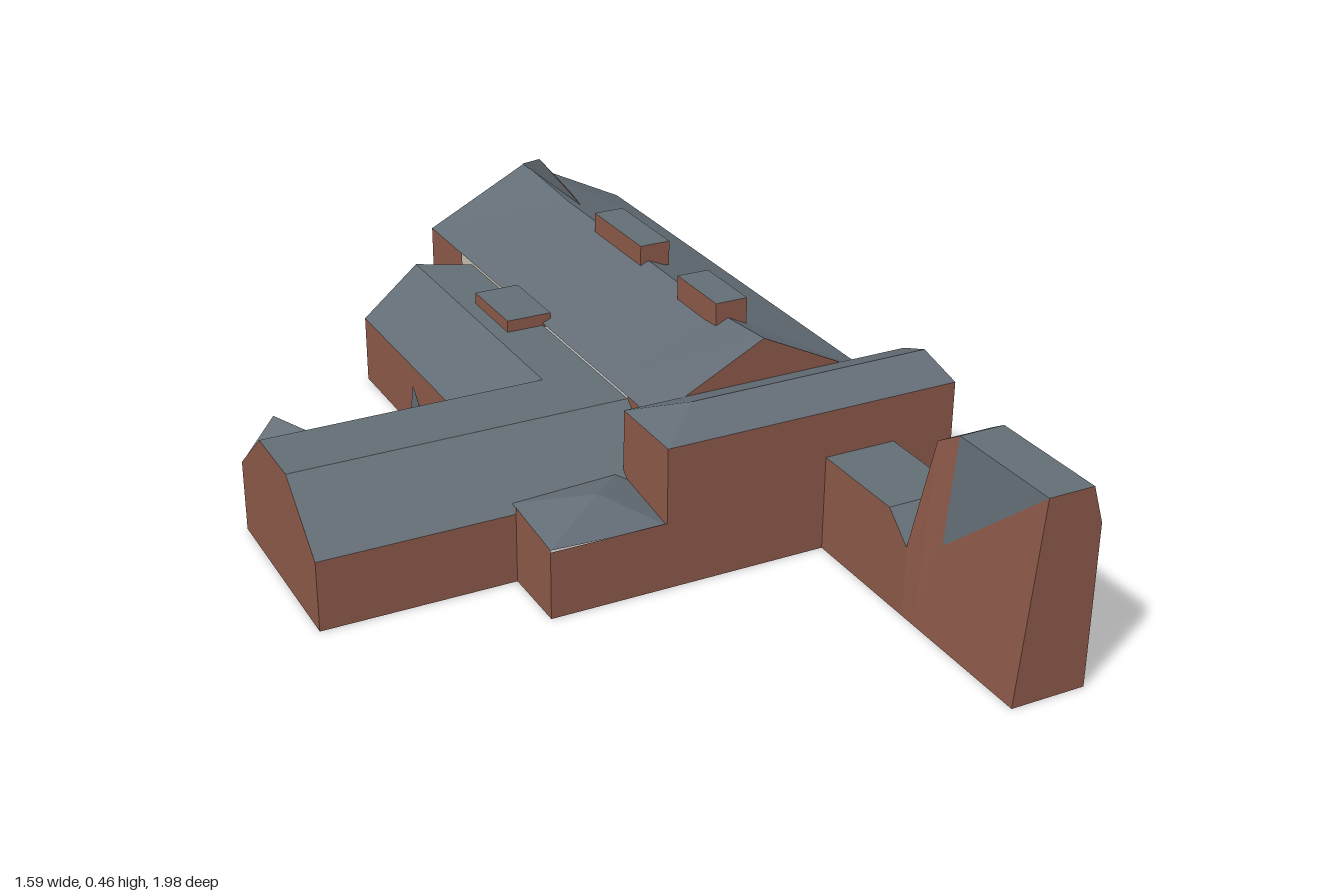
import * as THREE from 'three';

const flat = (name, color) => {
  const m = new THREE.MeshStandardMaterial({ color, side: THREE.DoubleSide });
  m.name = name;
  return m;
};

export function createModel() {
  const brick = flat('brick', 0x8b5848);
  const slate = flat('slate', 0x636d75);
  const cream = flat('cream', 0xd8d0c2);

  const model = new THREE.Group();
  model.name = 'building';
  const plan = new THREE.Group();
  plan.name = 'rotatedPlan';
  plan.rotation.y = 0.372;
  model.add(plan);

  // One mesh from flat polygons, each a list of [x, y, z] corners
  function part(name, material, polygons) {
    const pos = [];
    for (const p of polygons)
      for (let i = 1; i < p.length - 1; i++) pos.push(...p[0], ...p[i], ...p[i + 1]);
    const g = new THREE.BufferGeometry();
    g.setAttribute('position', new THREE.Float32BufferAttribute(pos, 3));
    g.computeVertexNormals();
    const mesh = new THREE.Mesh(g, material);
    mesh.name = name;
    plan.add(mesh);
  }
  // Upright wall between two plan points
  const wall = (x1, z1, x2, z2, top, base = 0) =>
    [[x1, base, z1], [x2, base, z2], [x2, top, z2], [x1, top, z1]];
  // Roof strip between two edges
  const strip = (a, b, c, d) => [a, b, c, d];

  // Main hall
  const L = -0.06, R = 0.457, B = -0.893, F = 0.3, eave = 0.28, rx = 0.195;
  part('mainSideWall', cream, [wall(R, F, R, B, eave)]);
  part('mainBackWallLower', cream, [[[R, 0, B], [L, 0, B], [L, eave, B]]]);
  part('mainBrickWalls', brick, [
    [[R, 0, B], [L, eave, B], [R, eave, B]],
    [[R, eave, B], [L, eave, B], [rx, 0.41, B]],
    [[L, eave, F], [R, eave, F], [rx, 0.41, F]],
    wall(L, B, L, -0.703, eave),
    wall(L, 0.18, L, F, eave, 0.15),
  ]);
  const ridge = [[-0.893, 0.41], [-0.64, 0.395], [0.1, 0.393], [0.3, 0.41]];
  const mainRoof = [];
  for (let i = 0; i < ridge.length - 1; i++) {
    const [za, ya] = ridge[i], [zb, yb] = ridge[i + 1];
    mainRoof.push(strip([L, eave, za], [L, eave, zb], [rx, yb, zb], [rx, ya, za]));
    mainRoof.push(strip([rx, ya, za], [rx, yb, zb], [R, eave, zb], [R, eave, za]));
  }
  part('mainRoof', slate, mainRoof);

  // Small pointed fins on the roofs: base start, base end, peak, foot
  function fin(name, a, b, peak, foot) {
    part(name, brick, [[a, foot, peak], [foot, b, peak]]);
    part(name + 'Roof', slate, [[b, a, peak]]);
  }
  fin('ridgeFin', [0.19, 0.41, -0.893], [0.222, 0.385, -0.62], [0.19, 0.455, -0.79], [0.24, 0.385, -0.72]);
  fin('endFin', [-0.808, 0.165, -0.115], [-0.69, 0.25, -0.02], [-0.74, 0.262, -0.1], [-0.68, 0.2, -0.07]);
  fin('middleFin', [-0.44, 0.18, -0.1], [-0.46, 0.275, 0.01], [-0.43, 0.265, -0.1], [-0.42, 0.2, -0.07]);

  // Flat-topped dormers
  function dormer(x1, x2, z1, z2, base, top) {
    part('dormerWalls', brick, [
      wall(x1, z2, x2, z2, top, base), wall(x2, z2, x2, z1, top, base),
      wall(x2, z1, x1, z1, top, base), wall(x1, z1, x1, z2, top, base),
    ]);
    part('dormerRoof', slate, [[[x1, top, z1], [x1, top, z2], [x2, top, z2], [x2, top, z1]]]);
  }
  dormer(0.175, 0.248, -0.45, -0.216, 0.375, 0.432);
  dormer(0.165, 0.24, -0.022, 0.15, 0.375, 0.435);
  dormer(-0.146, -0.04, -0.42, -0.24, 0.27, 0.302);

  // Side wing, joining the long wing in a valley
  const sx = -0.316, sb = -0.703, vx = -0.18, wb = -0.123, w1 = 0.017, low = 0.16, flatTop = 0.275;
  part('sideWingWalls', brick, [
    wall(sx, sb, sx, wb, low),
    [[L, 0, sb], [sx, 0, sb], [sx, low, sb], [vx, flatTop, sb], [L, 0.2, sb]],
    [[vx, flatTop, sb], [L, flatTop, -0.64], [L, 0.2, sb]],
  ]);
  part('sideWingRoof', slate, [
    strip([sx, low, sb], [sx, low, wb], [vx, flatTop, w1], [vx, flatTop, sb]),
    [[vx, flatTop, sb], [vx, flatTop, w1], [L, flatTop, w1], [L, flatTop, -0.64]],
  ]);

  // Long wing with a flat-topped roof
  const wl = -0.808, w2 = 0.18, wf = 0.33;
  part('longWingWalls', brick, [
    wall(wl, wf, -0.386, wf, 0.155),
    wall(sx, wb, wl, wb, low),
    [[wl, 0, wb], [wl, 0, wf], [wl, 0.155, wf], [wl, flatTop, w2], [wl, flatTop, w1], [wl, low, wb]],
  ]);
  part('longWingRoof', slate, [
    strip([wl, low, wb], [wl, flatTop, w1], [vx, flatTop, w1], [sx, low, wb]),
    strip([wl, flatTop, w1], [wl, flatTop, w2], [L, flatTop, w2], [L, flatTop, w1]),
    strip([wl, flatTop, w2], [wl, 0.155, wf], [L, 0.155, wf], [L, flatTop, w2]),
  ]);

  // Low entrance block
  const hl = -0.13, ff = 0.491, pl = -0.386;
  part('entranceWalls', brick, [
    wall(pl, ff, hl, ff, 0.15),
    [[pl, 0, wf], [pl, 0, ff], [pl, 0.155, ff], [pl, 0.17, wf]],
  ]);
  part('entranceRoof', slate, [
    [[pl, 0.155, ff], [hl, 0.145, ff], [-0.24, 0.2, 0.4]],
    [[hl, 0.145, ff], [hl, 0.17, 0.28], [-0.24, 0.2, 0.4]],
    [[hl, 0.17, 0.28], [pl, 0.17, 0.31], [-0.24, 0.2, 0.4]],
    [[pl, 0.17, 0.31], [pl, 0.155, ff], [-0.24, 0.2, 0.4]],
  ]);

  // Front cross block: hip at one end, nearly a gable at the other
  const hr = 0.546, he = 0.316, hy = 0.355, hz = 0.396;
  part('frontBlockWalls', brick, [
    wall(hl, ff, hr, ff, he), wall(hr, ff, hr, F, he), wall(hr, F, R, F, he),
    wall(R, F, hl, F, he, 0.27), wall(hl, F, hl, ff, he, 0.13),
  ]);
  part('frontBlockRoof', slate, [
    [[hl, he, ff], [hr, he, ff], [hr - 0.015, hy, hz], [-0.026, hy, hz]],
    [[hr, he, F], [hl, he, F], [-0.026, hy, hz], [hr - 0.015, hy, hz]],
    [[hl, he, F], [hl, he, ff], [-0.026, hy, hz]],
    [[hr, he, ff], [hr, he, F], [hr - 0.015, hy, hz]],
  ]);

  // Link and end tower: rows of [z, top, left top x, right top x, shoulder]
  const tl = 0.236, tr = 0.4;
  const rows = [
    [0.491, 0.212, tl, tr, 0.212], [0.725, 0.212, tl, tr, 0.212], [0.79, 0.155, tl, tr, 0.155],
    [0.83, 0.4, 0.262, 0.38, 0.34], [0.88, 0.43, 0.275, 0.375, 0.35], [1.15, 0.43, 0.275, 0.375, 0.35],
  ];
  const towerWalls = [], towerRoof = [];
  rows.slice(0, -1).forEach((a, i) => {
    const b = rows[i + 1];
    const la = [a[2], a[1], a[0]], lb = [b[2], b[1], b[0]];
    const ra = [a[3], a[1], a[0]], rb = [b[3], b[1], b[0]];
    const sa = [tr, a[4], a[0]], sb2 = [tr, b[4], b[0]];
    const ga = [tl, 0, a[0]], gb = [tl, 0, b[0]];
    (i === 2 ? towerWalls : towerRoof).push([la, lb, rb, ra]);
    towerWalls.push([[tr, 0, b[0]], [tr, 0, a[0]], sa, sb2], [ra, rb, sb2, sa]);
    if (i === 4) {
      const mid = [tl + 0.018, 0.2, a[0]];
      towerWalls.push([ga, gb, lb, mid]);
      towerRoof.push([mid, lb, la]);
    } else towerWalls.push([ga, gb, lb, la]);
  });
  const e = rows[5];
  towerWalls.push([[tl, 0, e[0]], [tr, 0, e[0]], [tr, e[4], e[0]], [e[3], e[1], e[0]], [e[2], e[1], e[0]]]);
  part('linkAndTowerWalls', brick, towerWalls);
  part('linkAndTowerRoof', slate, towerRoof);

  return model;
}
